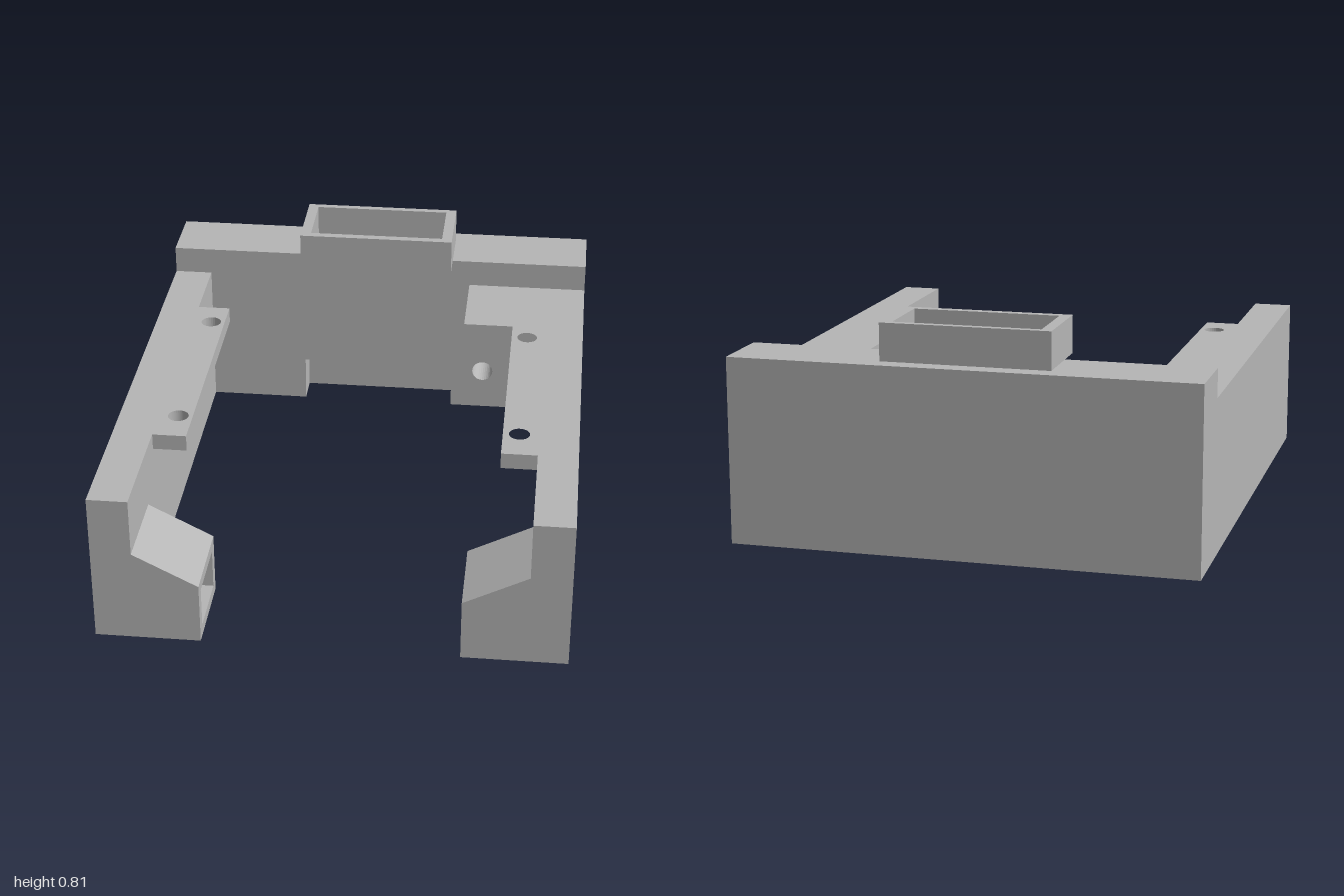
import * as THREE from 'three';

const grey = new THREE.MeshStandardMaterial({ color: 0xb6b6b6 });

// Shape from corner points, with optional round holes [x, y, radius]
function outline(points, holes = []) {
  const shape = new THREE.Shape(points.map(([x, y]) => new THREE.Vector2(x, y)));
  for (const [x, y, r] of holes) {
    shape.holes.push(new THREE.Path().absarc(x, y, r, 0, Math.PI * 2, true));
  }
  return shape;
}

const extrude = (shape, depth) =>
  new THREE.ExtrudeGeometry(shape, { depth, bevelEnabled: false, curveSegments: 16 });

// (x, y) section running from z0 to z1
const alongZ = (points, z0, z1, holes) =>
  extrude(outline(points, holes), z1 - z0).translate(0, 0, z0);

// (z, y) section running from x0 to x1
const alongX = (points, x0, x1) =>
  extrude(outline(points), x1 - x0).rotateY(-Math.PI / 2).translate(x1, 0, 0);

// (x, z) plan running from y0 to y1
const alongY = (points, y0, y1, holes = []) =>
  extrude(
    outline(points.map(([x, z]) => [x, -z]), holes.map(([x, z, r]) => [x, -z, r])),
    y1 - y0
  ).rotateX(-Math.PI / 2).translate(0, y0, 0);

const box = (x0, x1, y0, y1, z0, z1) =>
  new THREE.BoxGeometry(x1 - x0, y1 - y0, z1 - z0)
    .translate((x0 + x1) / 2, (y0 + y1) / 2, (z0 + z1) / 2);

export function createModel() {
  const model = new THREE.Group();
  const add = (name, geometry, parent = model) => {
    const mesh = new THREE.Mesh(geometry, grey);
    mesh.name = name;
    parent.add(mesh);
  };

  // Back wall: solid ends, shallow recess at the bottom of the inner face
  const wall = new THREE.Group();
  wall.name = 'backWall';
  model.add(wall);
  const recessed = [[-1, 0], [-0.863, 0], [-0.863, 0.18], [-0.745, 0.18], [-0.745, 0.67]];
  const slot = [[-0.78, 0.67], [-0.78, 0.5], [-0.9, 0.5], [-0.9, 0.67]];
  const top = [[-1, 0.67]];
  add('backWallRightEnd', box(-0.835, -0.305, 0, 0.67, -1, -0.745), wall);
  add('backWallLeftEnd', box(0.305, 0.835, 0, 0.67, -1, -0.745), wall);
  add('backWallRightOfSlot', alongX([...recessed, ...top], -0.305, -0.265), wall);
  add('backWallLeftOfSlot', alongX([...recessed, ...top], 0.26, 0.305), wall);
  add('backWallSlotted', alongX([...recessed, ...slot, ...top], -0.265, 0.26), wall);

  // Open tray on top of the back wall, overhanging inwards
  const rim = outline([[-0.305, 0.635], [0.3, 0.635], [0.3, 0.935], [-0.305, 0.935]]);
  rim.holes.push(new THREE.Path([[-0.265, 0.665], [-0.265, 0.91], [0.26, 0.91], [0.26, 0.665]]
    .map(([x, y]) => new THREE.Vector2(x, y))));
  add('trayRim', extrude(rim, 0.135).rotateX(-Math.PI / 2).translate(0, 0.67, 0));
  add('trayFloor', box(-0.265, 0.26, 0.67, 0.69, -0.78, -0.665));

  for (const s of [-1, 1]) {
    const side = new THREE.Group();
    side.name = s > 0 ? 'leftSide' : 'rightSide';
    model.add(side);
    const mirror = (points) => points.map(([x, ...rest]) => [s * x, ...rest]);

    // Side wall
    add('sideWall', alongZ(mirror([[0.69, 0], [0.835, 0], [0.835, 0.565], [0.69, 0.565]]), -0.745, 1), side);

    // Mounting ledge with two screw holes
    const inner = s > 0 ? 0.56 : 0.567;
    const start = s > 0 ? -0.405 : -0.44;
    add('mountingLedge', alongY(
      mirror([[inner, start], [0.69, start], [0.69, 0.55], [inner, 0.55]]), 0.505, 0.565,
      mirror([[0.62, -0.32, 0.038], [0.62, 0.41, 0.038]])), side);

    // Front foot with a sloped top and a pocket in its inner face
    const foot = [[0.69, 0], [0.458, 0], [0.458, 0.23], [0.69, 0.35]];
    const pocketed = [[0.69, 0], [0.458, 0], [0.458, 0.04], [0.58, 0.04], [0.58, 0.19],
      [0.458, 0.19], [0.458, 0.23], [0.69, 0.35]];
    add('footRear', alongZ(mirror(foot), 0.68, 0.72), side);
    add('footPocket', alongZ(mirror(pocketed), 0.72, 0.96), side);
    add('footFront', alongZ(mirror(foot), 0.96, 1), side);
  }

  // Corner block with a blind round hole facing forward
  const block = [[0.37, 0.26], [0.69, 0.26], [0.69, 0.565], [0.37, 0.565]];
  add('cornerBlockFront', alongZ(block, -0.6, -0.405, [[0.447, 0.358, 0.04]]));
  add('cornerBlockRear', alongZ(block, -0.745, -0.6));

  return model;
}
